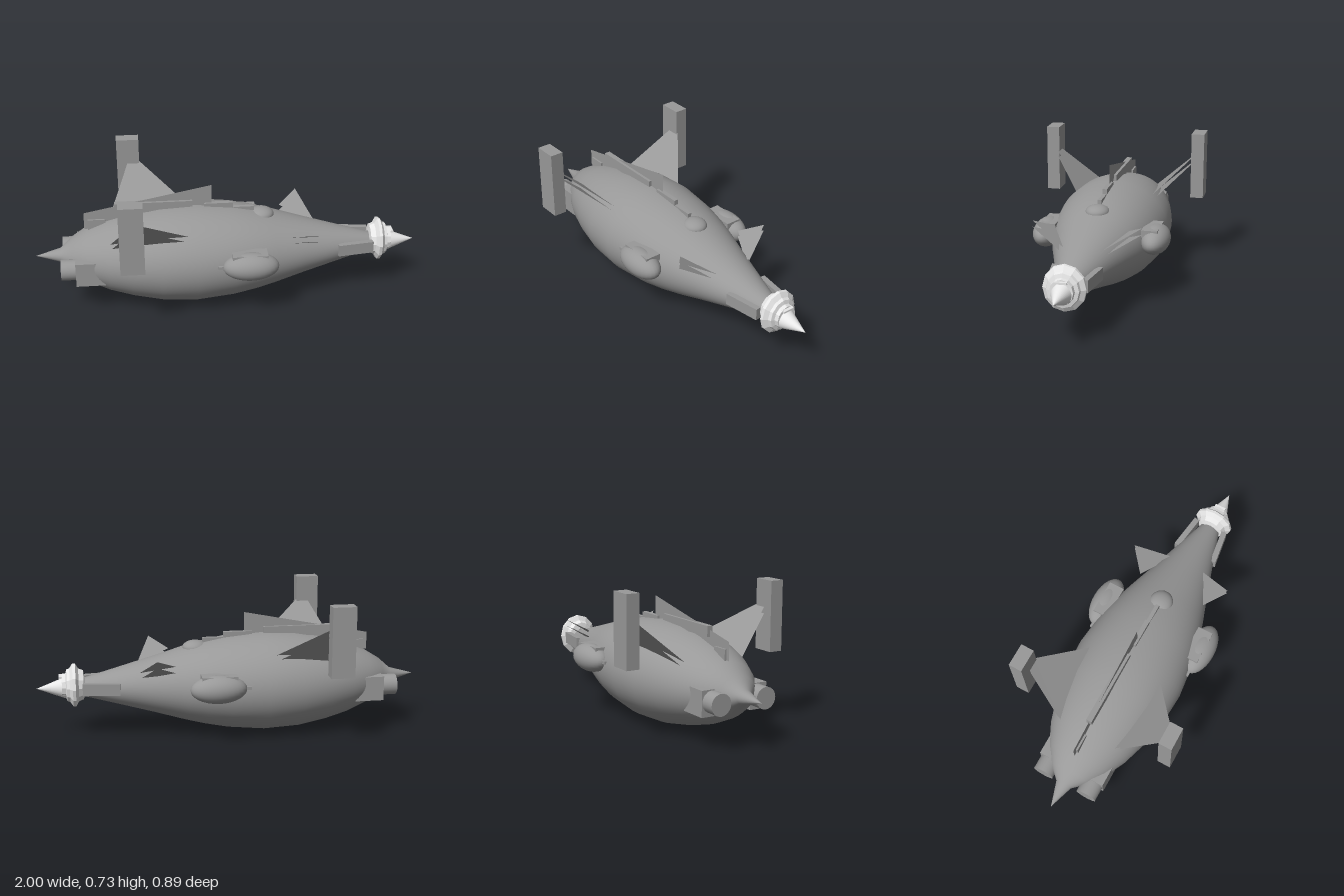
import * as THREE from 'three';

const AXIS_Y = 0.256;

export function createModel() {
  const root = new THREE.Group();
  const hullGrey = new THREE.MeshStandardMaterial({ color: 0x999999 });
  hullGrey.name = 'hullGrey';
  const finGrey = new THREE.MeshStandardMaterial({ color: 0x999999, side: THREE.DoubleSide });
  finGrey.name = 'finGrey';
  const paleMetal = new THREE.MeshStandardMaterial({ color: 0xececec, side: THREE.DoubleSide });
  paleMetal.name = 'paleMetal';

  function add(name, geo, mat, x = 0, y = 0, z = 0) {
    const m = new THREE.Mesh(geo, mat);
    m.name = name;
    m.position.set(x, y, z);
    root.add(m);
    return m;
  }
  // Box given by its minimum and maximum corners
  function box(name, a, b, mat = hullGrey) {
    return add(name, new THREE.BoxGeometry(b[0] - a[0], b[1] - a[1], b[2] - a[2]), mat,
      (a[0] + b[0]) / 2, (a[1] + b[1]) / 2, (a[2] + b[2]) / 2);
  }
  // Same box on both sides, mirrored over z
  function boxPair(name, a, b) {
    box(name + 'Front', a, b);
    box(name + 'Back', [a[0], a[1], -b[2]], [b[0], b[1], -a[2]]);
  }
  // Surface of revolution around the x axis from [x, radius] pairs
  function latheX(pairs, sides) {
    return new THREE.LatheGeometry(pairs.map(([x, r]) => new THREE.Vector2(r, x)), sides)
      .rotateZ(-Math.PI / 2);
  }
  // Thin convex plate from corner points
  function plate(name, pts) {
    const pos = [];
    for (let i = 1; i < pts.length - 1; i++) pos.push(...pts[0], ...pts[i], ...pts[i + 1]);
    const g = new THREE.BufferGeometry();
    g.setAttribute('position', new THREE.Float32BufferAttribute(pos, 3));
    g.computeVertexNormals();
    return add(name, g, finGrey);
  }

  // Spindle hull, wider than tall
  const hull = add('hull', latheX([
    [-1, 0], [-0.87, 0.036], [-0.81, 0.09], [-0.73, 0.14], [-0.62, 0.186], [-0.5, 0.219],
    [-0.35, 0.247], [-0.17, 0.256], [0.02, 0.238], [0.14, 0.215], [0.24, 0.19],
    [0.4, 0.144], [0.58, 0.095], [0.77, 0.044],
  ], 56), hullGrey, 0, AXIS_Y, 0);
  hull.scale.z = 1.175;

  // Nose collar and cone
  let collar = latheX([
    [0.755, 0.045], [0.76, 0.078], [0.785, 0.088], [0.8, 0.115], [0.815, 0.114],
    [0.83, 0.09], [0.845, 0.085], [0.85, 0.065], [0.87, 0.062], [0.87, 0.045],
  ], 12).toNonIndexed();
  collar.computeVertexNormals();
  add('noseCollar', collar, paleMetal, 0, 0.268, 0).scale.z = 0.92;
  add('noseCone', latheX([[0.84, 0.053], [0.86, 0.053], [1, 0]], 32), paleMetal, 0, AXIS_Y, 0);
  box('noseProbe', [0.84, 0.312, -0.03], [0.885, 0.322, 0.03], paleMetal);

  // Dorsal fin, spine strips and dome
  plate('dorsalFin', [[-0.74, 0.40, 0], [-0.08, 0.48, 0], [-0.08, 0.622, 0], [-0.74, 0.492, 0]]);
  box('spineStrip', [-0.58, 0.49, -0.015], [-0.18, 0.543, 0.015]);
  box('spineBlock', [-0.12, 0.48, -0.012], [0.03, 0.522, 0.012]);
  box('spineRidge', [-0.08, 0.46, -0.01], [0.14, 0.495, 0.01]);
  box('tailStrip', [-0.72, 0.39, -0.01], [-0.63, 0.455, 0.01]);
  add('dome', new THREE.SphereGeometry(1, 32, 16), hullGrey, 0.18, 0.445, 0).scale.set(0.065, 0.037, 0.062);

  for (const s of [1, -1]) {
    const side = s > 0 ? 'Front' : 'Back';

    // Double-skinned wings and canards
    for (const drop of [0, 0.033]) {
      plate('wing' + side, [
        [-0.61, 0.385 - drop, s * 0.155], [-0.2, 0.428 - drop, s * 0.195],
        [-0.44, 0.60 - drop, s * 0.385], [-0.5, 0.60 - drop, s * 0.385],
      ]);
      plate('canard' + side, [
        [0.3, 0.395 - drop, s * 0.19], [0.475, 0.345 - drop, s * 0.10], [0.4, 0.447 - drop, s * 0.277],
      ]);
    }

    // Side pods
    add('pod' + side, new THREE.SphereGeometry(1, 28, 18), hullGrey, 0.095, 0.295, s * 0.285)
      .scale.set(0.143, 0.072, 0.075);

    // Engine cylinders
    add('engine' + side, new THREE.CylinderGeometry(0.054, 0.054, 0.26, 24).rotateZ(Math.PI / 2),
      hullGrey, -0.735, 0.235, s * 0.125);

    // Nose strakes, angled along the hull
    const strake = add('strake' + side, new THREE.BoxGeometry(0.19, 0.062, 0.03), hullGrey,
      0.67, 0.266, s * 0.097);
    strake.rotation.y = s * 0.14;
  }

  boxPair('wingtipPlate', [-0.56, 0.37, 0.375], [-0.44, 0.728, 0.445]);
  boxPair('podCap', [0, 0.325, 0.225], [0.18, 0.362, 0.308]);
  boxPair('podTail', [-0.07, 0.288, 0.265], [-0.03, 0.304, 0.295]);
  boxPair('engineFairing', [-0.79, 0.165, 0.09], [-0.64, 0.293, 0.182]);

  return root;
}
